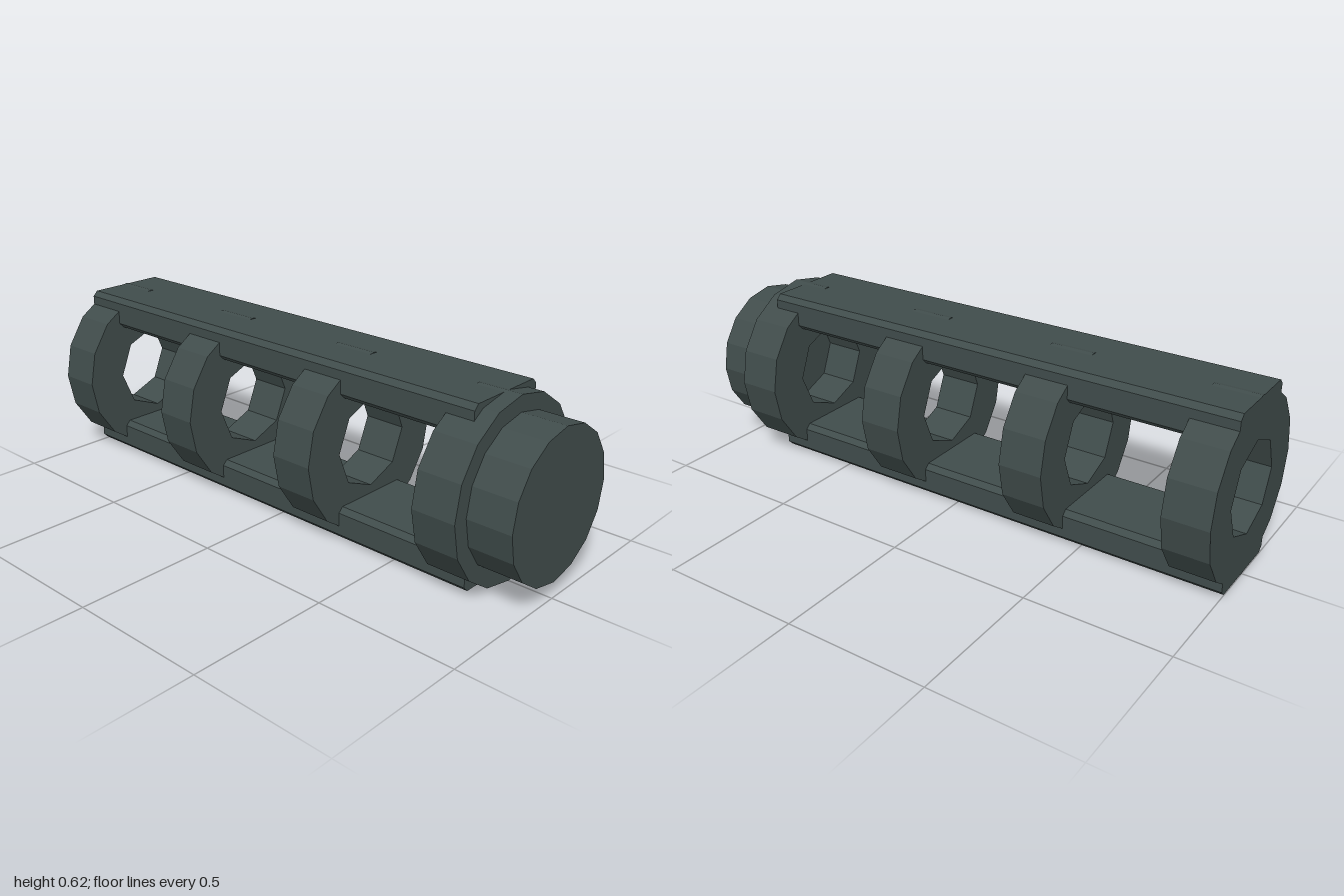
import * as THREE from 'three';

const CENTER_Y = 0.312;

// Regular polygon points with the first corner on +x
function polygon(radius, sides) {
  return Array.from({ length: sides }, (_, i) => {
    const a = (i / sides) * Math.PI * 2;
    return new THREE.Vector2(Math.cos(a) * radius, Math.sin(a) * radius);
  });
}

// Flat-sided extrusion running from zBack to zFront
function extrude(shape, zBack, zFront) {
  const geo = new THREE.ExtrudeGeometry(shape, { depth: zFront - zBack, bevelEnabled: false });
  return geo.translate(0, CENTER_Y, zBack);
}

export function createModel() {
  const group = new THREE.Group();
  const darkMetal = new THREE.MeshStandardMaterial({ color: 0x404c4b });
  darkMetal.name = 'dark metal';
  darkMetal.flatShading = true;

  const add = (name, geo) => {
    const mesh = new THREE.Mesh(geo, darkMetal);
    mesh.name = name;
    group.add(mesh);
  };

  // Four sixteen-sided rings with an octagonal bore
  const ring = new THREE.Shape(polygon(0.311, 16));
  ring.holes.push(new THREE.Path(polygon(0.163, 8).reverse()));
  [0.845, 0.28, -0.282, -0.845].forEach((zFront, i) => {
    add('ring' + (i + 1), extrude(ring, zFront - 0.155, zFront));
  });

  // Solid collar closing the front end
  add('frontCap', extrude(new THREE.Shape(polygon(0.255, 16)), 0.843, 1));

  // Chamfered bars joining the rings above and below
  const w = 0.162, c = 0.018, top = 0.308, low = 0.193;
  const section = [
    [-w + c, low], [w - c, low], [w, low + c], [w, top - c],
    [w - c, top], [-w + c, top], [-w, top - c], [-w, low + c],
  ];
  for (const [name, s] of [['topBar', 1], ['bottomBar', -1]]) {
    const bar = new THREE.Shape(section.map(([x, y]) => new THREE.Vector2(x * s, y * s)));
    add(name, extrude(bar, -1, 0.79));
  }

  return group;
}
